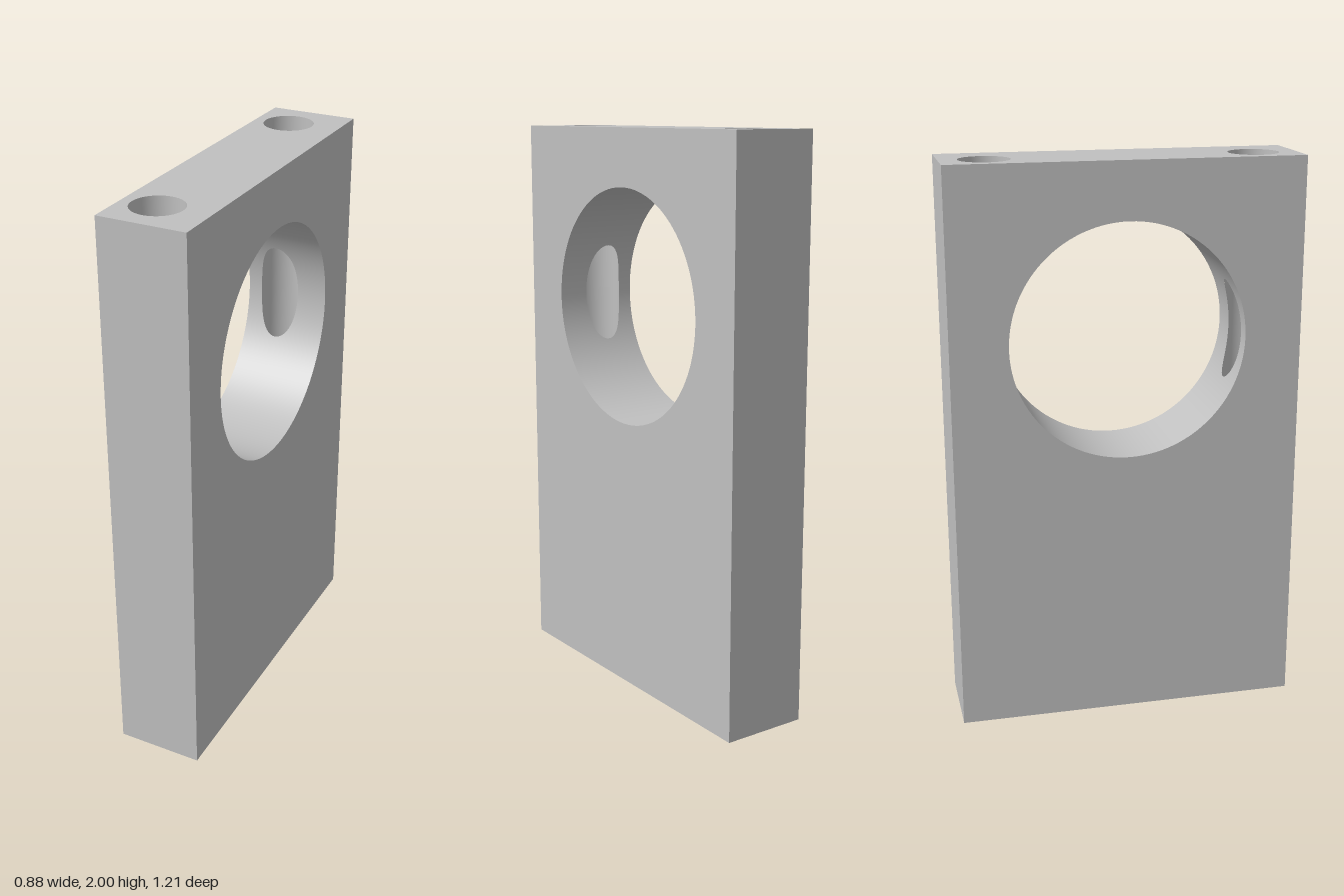
import * as THREE from 'three';

const W = 1.226, H = 2, T = 0.306;        // block width, height, thickness
const R = 0.4125, CY = 1.3875;            // large bore radius and height
const r = 0.088, PX = 0.461, PZ = -0.029; // bolt hole radius, side offset, depth offset
const BORE_GAP = Math.acos((PX - r) / R); // half angle of the bore cut by a bolt hole
const BOLT_GAP = Math.acos((PX - R) / r); // half angle of a bolt hole cut by the bore

// angles from a to b; eased ones crowd towards both ends
function arc(a, b, n, eased) {
  return Array.from({ length: n + 1 }, (_, i) => {
    const t = i / n;
    return a + (b - a) * (eased ? (1 - Math.cos(Math.PI * t)) / 2 : t);
  });
}

const boreAngles = [
  ...arc(-BORE_GAP, BORE_GAP, 32, true),
  ...arc(BORE_GAP, Math.PI - BORE_GAP, 40).slice(1),
  ...arc(Math.PI - BORE_GAP, Math.PI + BORE_GAP, 32, true).slice(1),
  ...arc(Math.PI + BORE_GAP, 2 * Math.PI - BORE_GAP, 40).slice(1),
];

// the open arc of a bolt hole faces the block's middle
function boltAngles(side) {
  const c = side > 0 ? Math.PI : 0;
  return [
    ...arc(c - BOLT_GAP, c + BOLT_GAP, 32, true),
    ...arc(c + BOLT_GAP, c - BOLT_GAP + 2 * Math.PI, 40).slice(1),
  ];
}

// inward-facing cylinder wall along z, trimmed between low(angle) and high(angle)
function wall(radius, angles, low, high) {
  const pos = [], nor = [], idx = [];
  angles.forEach((a, i) => {
    const c = Math.cos(a), s = Math.sin(a);
    for (const z of [low(a), high(a)]) {
      pos.push(radius * c, radius * s, z);
      nor.push(-c, -s, 0);
    }
    if (i > 0) {
      const k = 2 * i - 2;
      idx.push(k, k + 3, k + 2, k, k + 1, k + 3);
    }
  });
  const g = new THREE.BufferGeometry();
  g.setAttribute('position', new THREE.Float32BufferAttribute(pos, 3));
  g.setAttribute('normal', new THREE.Float32BufferAttribute(nor, 3));
  g.setIndex(idx);
  return g;
}

// rectangle centred on the origin with round holes [x, y, radius, angles]
function plate(w, h, holes) {
  const s = new THREE.Shape([
    new THREE.Vector2(-w / 2, -h / 2), new THREE.Vector2(w / 2, -h / 2),
    new THREE.Vector2(w / 2, h / 2), new THREE.Vector2(-w / 2, h / 2),
  ]);
  for (const [x, y, rad, angles] of holes) {
    s.holes.push(new THREE.Path(angles.slice(0, -1).map(
      (a) => new THREE.Vector2(x + rad * Math.cos(a), y + rad * Math.sin(a)))));
  }
  return new THREE.ShapeGeometry(s);
}

export function createModel() {
  const metal = new THREE.MeshStandardMaterial({ color: 0xc0c0c0 });
  metal.name = 'plain grey';
  const model = new THREE.Group();
  model.name = 'boredBlock';
  const block = new THREE.Group();
  block.name = 'block';
  block.rotation.y = Math.PI / 3;
  model.add(block);
  const add = (name, geometry) => {
    const m = new THREE.Mesh(geometry, metal);
    m.name = name;
    block.add(m);
  };

  // broad faces with the large bore
  const broad = () => plate(W, H, [[0, CY - H / 2, R, boreAngles]]);
  add('frontFace', broad().translate(0, H / 2, T / 2));
  add('backFace', broad().rotateY(Math.PI).translate(0, H / 2, -T / 2));

  // narrow ends
  for (const side of [1, -1]) {
    add(side > 0 ? 'leftEnd' : 'rightEnd',
      new THREE.PlaneGeometry(T, H).rotateY(side * Math.PI / 2).translate(side * W / 2, H / 2, 0));
  }

  // top and bottom with the bolt holes
  for (const up of [1, -1]) {
    const holes = [1, -1].map((side) => [side * PX, -up * PZ, r, boltAngles(side)]);
    add(up > 0 ? 'topFace' : 'bottomFace',
      plate(W, T, holes).rotateX(-up * Math.PI / 2).translate(0, up > 0 ? H : 0, 0));
  }

  // bore wall, opened where the bolt holes break through
  const slot = (a) => {
    const d = Math.abs(R * Math.cos(a)) - PX;
    return Math.sqrt(Math.max(0, r * r - d * d));
  };
  add('boreWallBack', wall(R, boreAngles, () => -T / 2, (a) => PZ - slot(a)).translate(0, CY, 0));
  add('boreWallFront', wall(R, boreAngles, (a) => PZ + slot(a), () => T / 2).translate(0, CY, 0));

  // bolt hole walls below and above the bore
  for (const side of [1, -1]) {
    const angles = boltAngles(side);
    const cut = (a) => {
      const u = side * PX + r * Math.cos(a);
      return Math.sqrt(Math.max(0, R * R - u * u));
    };
    const place = (g) => g.rotateX(-Math.PI / 2).translate(side * PX, 0, PZ);
    const name = side > 0 ? 'leftBoltHole' : 'rightBoltHole';
    add(name + 'Lower', place(wall(r, angles, () => 0, (a) => CY - cut(a))));
    add(name + 'Upper', place(wall(r, angles, (a) => CY + cut(a), () => H)));
  }
  return model;
}
